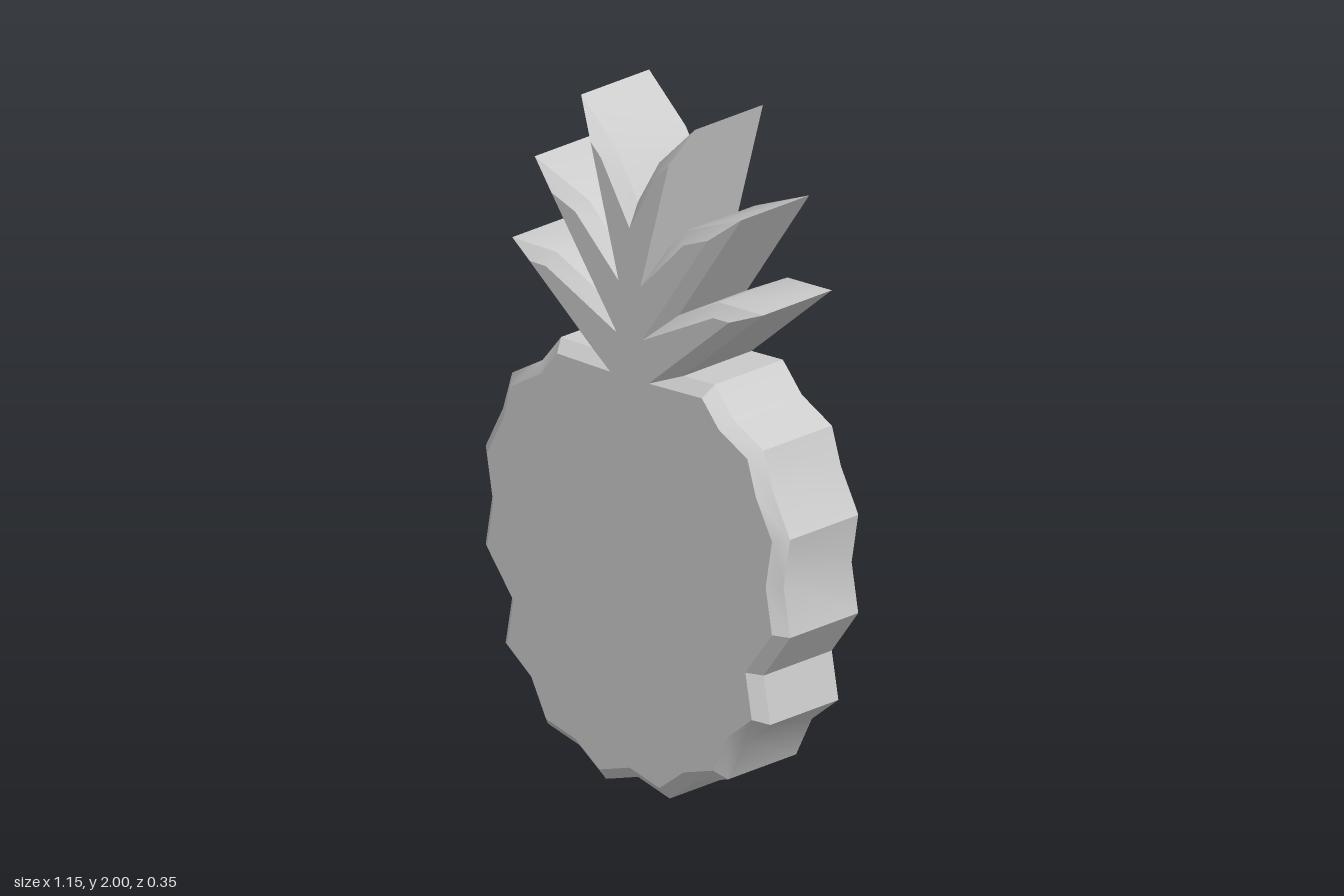
import * as THREE from 'three';
import { toCreasedNormals } from 'three/addons/utils/BufferGeometryUtils.js';

const HALF_DEPTH = 0.175, BEVEL = 0.035;

// Right half of the outline, from bottom centre to top centre
const bodyEdge = [
  [0, 0.035], [0.12, 0], [0.22, 0.075], [0.34, 0.11], [0.4, 0.23], [0.5, 0.31],
  [0.475, 0.45], [0.575, 0.585], [0.55, 0.73], [0.575, 0.875], [0.51, 1.0],
  [0.475, 1.115], [0.36, 1.18], [0.29, 1.265],
];
const leafEdge = [
  [0.172, 1.262], [0.475, 1.515], [0.307, 1.512], // lower leaf
  [0.154, 1.437], [0.39, 1.775], [0.185, 1.695],  // middle leaf
  [0.11, 1.62], [0.215, 2.0], [0.08, 1.87],       // top leaf
  [0, 1.735],
];

// Moves every edge of a counter-clockwise outline inwards, with full mitres
function inset(points, distance) {
  const n = points.length;
  return points.map((p, i) => {
    const a = p.clone().sub(points[(i + n - 1) % n]).normalize();
    const b = points[(i + 1) % n].clone().sub(p).normalize();
    const na = new THREE.Vector2(-a.y, a.x), nb = new THREE.Vector2(-b.y, b.x);
    return na.clone().add(nb).multiplyScalar(distance / (1 + na.dot(nb))).add(p);
  });
}

// Slab with a straight rim and a mitred chamfer on both faces
function bevelledSlab(outer) {
  const inner = inset(outer, BEVEL), n = outer.length;
  const rings = [
    [inner, -HALF_DEPTH], [outer, BEVEL - HALF_DEPTH],
    [outer, HALF_DEPTH - BEVEL], [inner, HALF_DEPTH],
  ];
  const positions = rings.flatMap(([pts, z]) => pts.flatMap((p) => [p.x, p.y, z]));
  const index = [];
  for (let r = 0; r < 3; r++) {
    for (let i = 0; i < n; i++) {
      const j = (i + 1) % n, a = r * n + i, b = r * n + j;
      index.push(a, b, b + n, a, b + n, a + n);
    }
  }
  // Front and back faces
  for (const [a, b, c] of THREE.ShapeUtils.triangulateShape(inner, [])) {
    index.push(a + 3 * n, b + 3 * n, c + 3 * n, c, b, a);
  }
  const geometry = new THREE.BufferGeometry();
  geometry.setAttribute('position', new THREE.Float32BufferAttribute(positions, 3));
  geometry.setIndex(index);
  return toCreasedNormals(geometry, 0.55);
}

export function createModel() {
  const group = new THREE.Group();
  group.name = 'pineapple';
  const half = [...bodyEdge, ...leafEdge];
  const mirrored = half.slice(1, -1).reverse().map(([x, y]) => [-x, y]);
  const outline = [...half, ...mirrored].map(([x, y]) => new THREE.Vector2(x, y));

  // Scalloped fruit and leaf crown in one piece
  const slab = new THREE.Mesh(
    bevelledSlab(outline),
    new THREE.MeshStandardMaterial({ color: 0xcccccc }),
  );
  slab.name = 'fruitWithLeafCrown';
  group.add(slab);
  return group;
}
